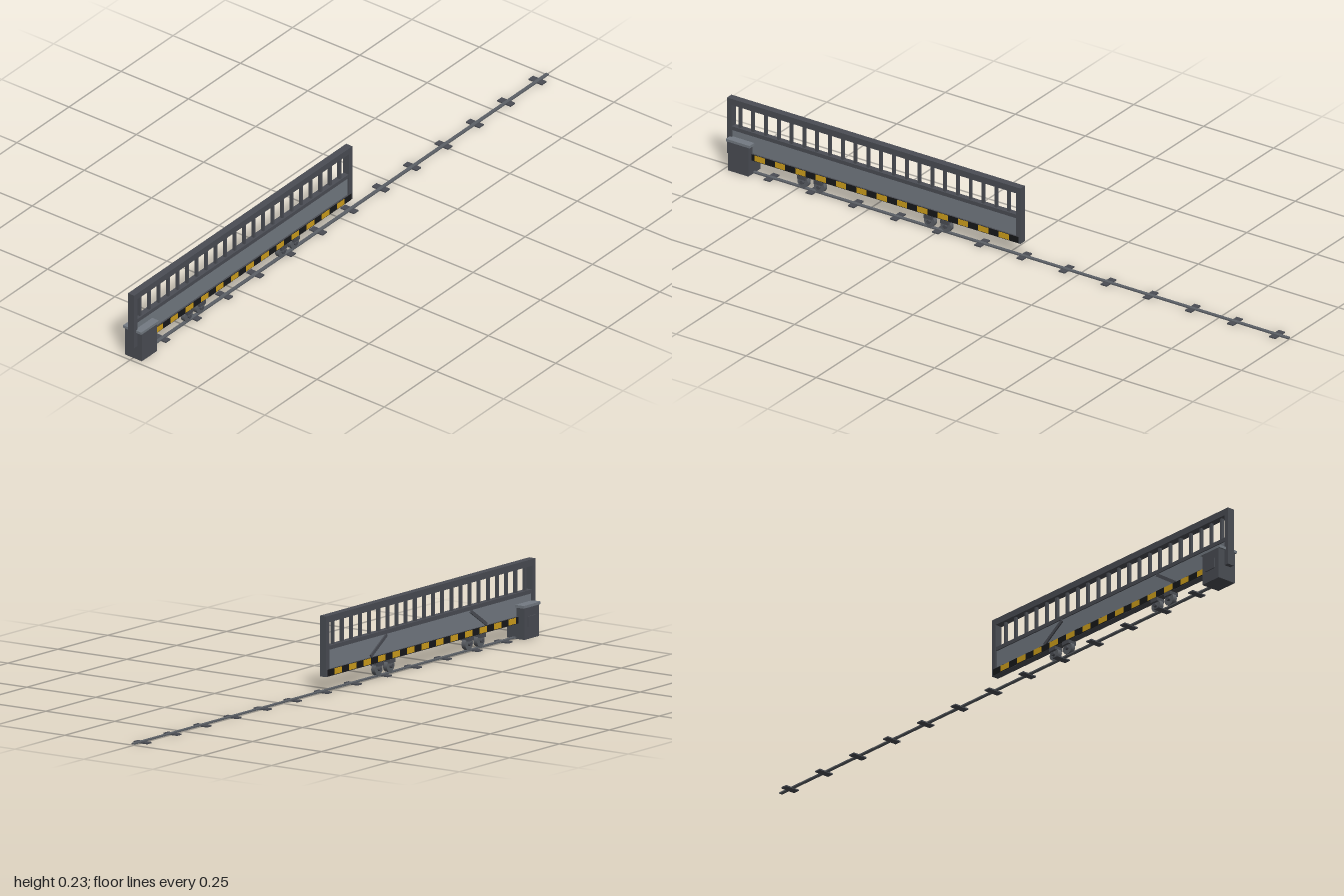
import * as THREE from 'three';

const paint = (color) => new THREE.MeshStandardMaterial({ color });
const DARK = paint(0x4a4d54), STEEL = paint(0x737a82), BLACK = paint(0x17181a);
const YELLOW = paint(0xd0a01c), WHEEL = paint(0x5c6066);
const ZC = 0.0035; // centre plane of gate and track

export function createModel() {
  const model = new THREE.Group();

  // Box given by its limits in x and y, its depth and its centre in z
  function box(parent, name, mat, x0, x1, y0, y1, depth, z = ZC) {
    const mesh = new THREE.Mesh(new THREE.BoxGeometry(x1 - x0, y1 - y0, depth), mat);
    mesh.position.set((x0 + x1) / 2, (y0 + y1) / 2, z);
    mesh.name = name;
    parent.add(mesh);
    return mesh;
  }
  function group(name) {
    const g = new THREE.Group();
    g.name = name;
    model.add(g);
    return g;
  }

  // Ground track with sleepers
  const track = group('track');
  box(track, 'rail', WHEEL, -0.93, 1, 0.002, 0.006, 0.011);
  for (let i = 0; i < 13; i++) {
    const x = 0.955 - 0.1505 * i;
    box(track, 'sleeper', DARK, x - 0.011, x + 0.011, 0, 0.004, 0.05, 0.001);
  }

  // Gate frame
  const gate = group('gate');
  const L = -1, R = 0.048, DEPTH = 0.023;
  box(gate, 'topBeam', DARK, L, R, 0.208, 0.228, DEPTH);
  box(gate, 'bottomBeam', DARK, L, R, 0.046, 0.067, DEPTH);
  box(gate, 'middleBeam', DARK, L, R, 0.125, 0.137, 0.019);
  box(gate, 'leftPost', DARK, L, L + 0.016, 0.046, 0.228, DEPTH);
  box(gate, 'rightPost', DARK, R - 0.016, R, 0.046, 0.228, DEPTH);
  box(gate, 'lowerPanel', STEEL, L + 0.016, R - 0.016, 0.067, 0.125, 0.012);
  for (let i = 0; i < 22; i++) {
    const x = -0.96 + 0.0457 * i;
    box(gate, 'baluster', DARK, x - 0.004, x + 0.004, 0.137, 0.208, 0.009);
  }

  // Slanted braces on the back of the panel
  for (const [xTop, xBottom] of [[-0.26, -0.18], [-0.68, -0.76]]) {
    const dx = xBottom - xTop, dy = -0.052;
    const half = Math.hypot(dx, dy) / 2;
    const brace = box(gate, 'brace', DARK, -half, half, -0.005, 0.005, 0.004, -0.0045);
    brace.position.set((xTop + xBottom) / 2, 0.096, -0.0045);
    brace.rotation.z = Math.atan2(dy, dx);
  }

  // Warning stripes on both faces
  const stripes = group('warningStripes');
  for (const side of [1, -1]) {
    const z = ZC + side * 0.0122;
    box(stripes, 'stripeBand', BLACK, L + 0.018, R - 0.006, 0.047, 0.067, 0.0016, z);
    for (let k = -1; k < 13; k++) {
      const x = -0.9 + 0.0726 * k;
      box(stripes, 'stripe', YELLOW, x, x + 0.0363, 0.0485, 0.0665, 0.0026, z);
    }
  }

  // Wheels with brackets and axles
  const wheels = group('wheels');
  for (const x of [-0.733, -0.674, -0.281, -0.222]) {
    for (const [name, radius, length, mat] of [['wheel', 0.019, 0.014, WHEEL], ['axle', 0.006, 0.028, DARK]]) {
      const mesh = new THREE.Mesh(new THREE.CylinderGeometry(radius, radius, length, 24), mat);
      mesh.rotation.x = Math.PI / 2;
      mesh.position.set(x, 0.025, ZC);
      mesh.name = name;
      wheels.add(mesh);
    }
    box(wheels, 'bracket', DARK, x - 0.014, x + 0.014, 0.035, 0.047, 0.03);
  }

  // Drive housing around the end of the gate
  const drive = group('driveHousing');
  box(drive, 'housing', DARK, -0.985, -0.912, 0, 0.095, 0.063, 0.0005);
  box(drive, 'cap', STEEL, -0.991, -0.906, 0.095, 0.103, 0.068, 0.0005);
  box(drive, 'servicePanel', DARK, -0.969, -0.928, 0.036, 0.068, 0.004, -0.0325);

  return model;
}
